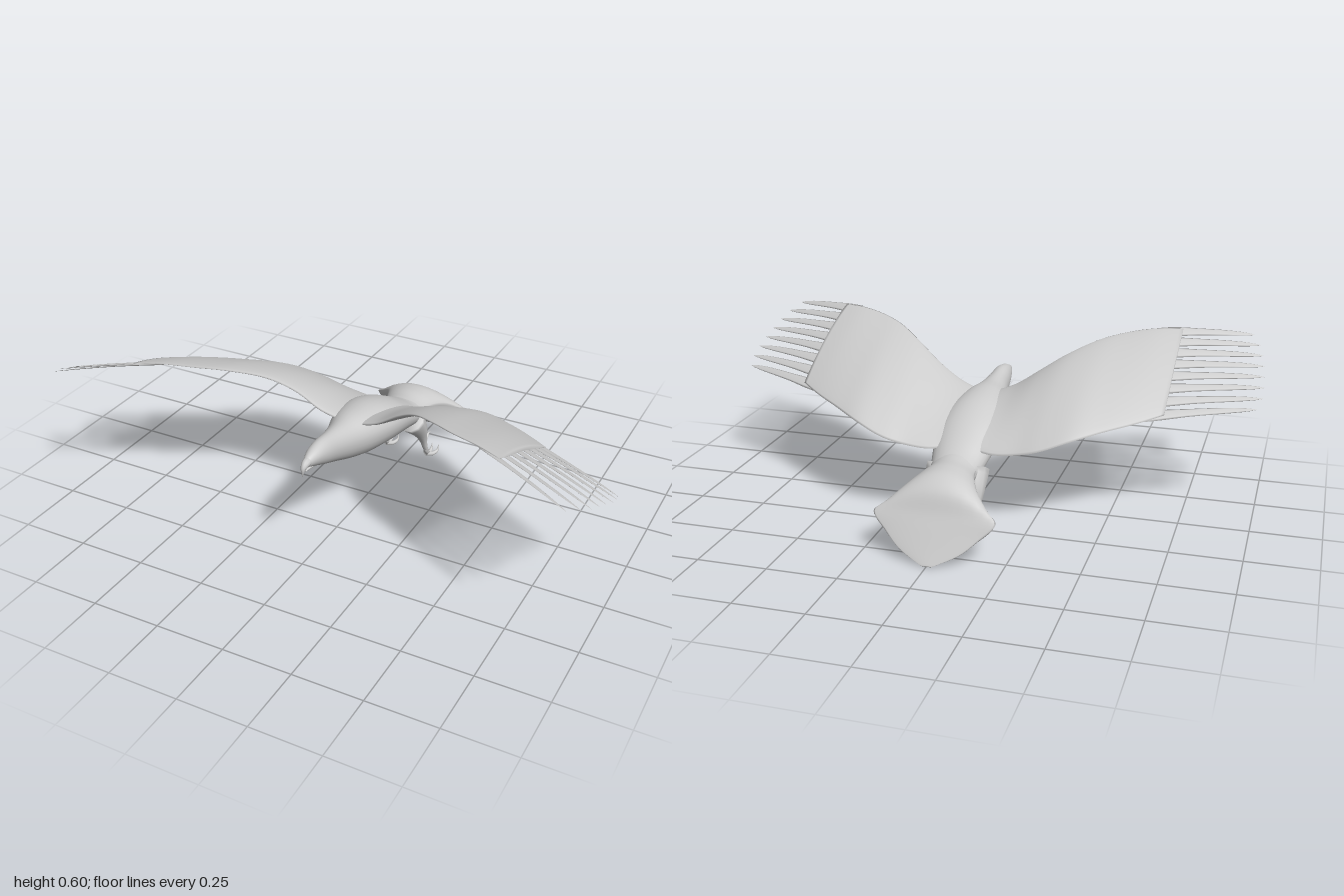
import * as THREE from 'three';

const V = (x, y, z) => new THREE.Vector3(x, y, z);
const material = new THREE.MeshStandardMaterial({ color: 0xcccccc });

// Skin a list of point rings into a closed solid, turned outward by its volume.
function loft(name, rings) {
  const n = rings[0].length, pos = [], idx = [];
  rings.forEach(r => r.forEach(p => pos.push(p.x, p.y, p.z)));
  for (let i = 0; i < rings.length - 1; i++) {
    for (let j = 0; j < n; j++) {
      const a = i * n + j, b = i * n + (j + 1) % n;
      idx.push(a, b, a + n, b, b + n, a + n);
    }
  }
  [0, rings.length - 1].forEach((r, end) => {
    const c = rings[r].reduce((s, p) => s.add(p), V(0, 0, 0)).divideScalar(n);
    const k = pos.length / 3;
    pos.push(c.x, c.y, c.z);
    for (let j = 0; j < n; j++) {
      const a = r * n + j, b = r * n + (j + 1) % n;
      if (end) idx.push(a, b, k); else idx.push(b, a, k);
    }
  });
  const at = i => V(pos[3 * i], pos[3 * i + 1], pos[3 * i + 2]);
  let volume = 0;
  for (let i = 0; i < idx.length; i += 3) {
    volume += at(idx[i]).dot(at(idx[i + 1]).cross(at(idx[i + 2])));
  }
  if (volume < 0) idx.reverse();
  const g = new THREE.BufferGeometry();
  g.setAttribute('position', new THREE.Float32BufferAttribute(pos, 3));
  g.setIndex(idx);
  g.computeVertexNormals();
  const mesh = new THREE.Mesh(g, material);
  mesh.name = name;
  return mesh;
}

// Smoothly resample rows of numbers.
function resample(rows, count) {
  return Array.from({ length: count + 1 }, (_, k) => {
    const f = k / count * (rows.length - 1), i = Math.min(Math.floor(f), rows.length - 2), t = f - i;
    const row = j => rows[Math.max(0, Math.min(rows.length - 1, j))];
    return rows[0].map((_, c) => {
      const p0 = row(i - 1)[c], p1 = row(i)[c], p2 = row(i + 1)[c], p3 = row(i + 2)[c];
      return p1 + 0.5 * t * (p2 - p0 + t * (2 * p0 - 5 * p1 + 4 * p2 - p3 + t * (3 * (p1 - p2) + p3 - p0)));
    });
  });
}

const angles = n => Array.from({ length: n }, (_, j) => j / n * Math.PI * 2);

// Upright cross-section: station z, top y, side y, bottom y, half width.
function section([z, top, side, bottom, hw], power) {
  return angles(28).map(a => {
    const s = Math.sin(a), h = Math.pow(Math.abs(s), power);
    return V(hw * Math.cos(a), side + (s > 0 ? top - side : bottom - side) * h, z);
  });
}

// Tapered limb through points, with one radius per point.
function limb(name, points, radii) {
  const curve = new THREE.CatmullRomCurve3(points), steps = 14;
  const { normals, binormals } = curve.computeFrenetFrames(steps);
  const r = resample(radii.map(v => [v]), steps);
  return loft(name, r.map(([rad], i) => {
    const c = curve.getPoint(i / steps);
    const nrm = normals[i], bin = binormals[i];
    return angles(10).map(a => c.clone()
      .addScaledVector(nrm, rad * Math.cos(a)).addScaledVector(bin, rad * Math.sin(a)));
  }));
}

function wing(side) {
  const g = new THREE.Group();
  g.name = side > 0 ? 'leftWing' : 'rightWing';
  // x, leading z, leading y, trailing z, trailing y, half thickness
  const rows = [
    [0.03, 0.15, 0.385, -0.20, 0.285, 0.016],
    [0.11, 0.165, 0.415, -0.225, 0.275, 0.02],
    [0.20, 0.18, 0.475, -0.23, 0.283, 0.018],
    [0.29, 0.23, 0.53, -0.23, 0.305, 0.015],
    [0.39, 0.31, 0.57, -0.20, 0.34, 0.012],
    [0.49, 0.375, 0.59, -0.135, 0.363, 0.01],
    [0.59, 0.42, 0.60, -0.065, 0.38, 0.008],
    [0.68, 0.455, 0.597, 0.01, 0.397, 0.005],
  ];
  g.add(loft('wingBlade', resample(rows, 36).map(([x, zl, yl, zt, yt, th]) =>
    angles(28).map(a => {
      const u = (1 - Math.cos(a)) / 2;
      const camber = 0.08 * (zl - zt) * u * (1 - u) * 2;
      return V(side * x, yl + (yt - yl) * u + camber + th * Math.sin(a), zl + (zt - zl) * u);
    }))));
  // Spread flight feathers at the wing tip
  const tipX = [0.985, 1, 1, 0.995, 0.99, 0.98, 0.965, 0.935];
  const profile = [[0, 0.027], [0.2, 0.027], [0.4, 0.021], [0.6, 0.018], [0.8, 0.014], [0.93, 0.008], [1, 0.001]];
  const across = V(0, 0.41, 0.91), up = V(0, 0.91, -0.41);
  tipX.forEach((tx, i) => {
    const t = i / (tipX.length - 1);
    const base = V(0.60, 0.392 + 0.198 * t + 0.035 * t * (1 - t), -0.02 + 0.425 * t);
    const tip = V(tx, 0.392 + 0.168 * t, 0.18 + 0.395 * t);
    g.add(loft('flightFeather', resample(profile, 12).map(([s, w]) => {
      const c = base.clone().lerp(tip, s);
      c.y += 0.02 * s * (1 - s);
      return angles(8).map(a => {
        const p = c.clone().addScaledVector(across, w * Math.cos(a))
          .addScaledVector(up, 0.12 * w * Math.sin(a));
        p.x *= side;
        return p;
      });
    })));
  });
  return g;
}

function leg(side) {
  const g = new THREE.Group();
  g.name = side > 0 ? 'leftLeg' : 'rightLeg';
  const P = (x, y, z) => V(side * x, y, z);
  g.add(limb('shank',
    [P(0.065, 0.215, -0.23), P(0.078, 0.16, -0.272), P(0.085, 0.10, -0.297), P(0.088, 0.055, -0.313), P(0.088, 0.018, -0.335)],
    [0.05, 0.034, 0.016, 0.01, 0.009]));
  // Three toes trailing back with curled claws
  [-0.026, 0, 0.026].forEach(d => g.add(limb('toe',
    [P(0.088, 0.018, -0.33), P(0.088 + d * 0.6, 0.011, -0.352), P(0.088 + d, 0.018, -0.372), P(0.088 + d * 1.1, 0.042, -0.38)],
    [0.009, 0.008, 0.006, 0.001])));
  // Raised opposing toe
  g.add(limb('hindToe',
    [P(0.088, 0.02, -0.335), P(0.088, 0.045, -0.315), P(0.088, 0.08, -0.312), P(0.088, 0.106, -0.335), P(0.088, 0.10, -0.365)],
    [0.009, 0.008, 0.007, 0.005, 0.001]));
  return g;
}

export function createModel() {
  const model = new THREE.Group();
  model.name = 'soaringBird';

  // Head, neck and trunk
  const trunk = [
    [0.455, 0.392, 0.38, 0.368, 0.009],
    [0.44, 0.404, 0.385, 0.364, 0.017],
    [0.40, 0.417, 0.385, 0.347, 0.029],
    [0.35, 0.423, 0.375, 0.325, 0.037],
    [0.28, 0.417, 0.36, 0.297, 0.045],
    [0.20, 0.413, 0.345, 0.265, 0.064],
    [0.11, 0.415, 0.335, 0.24, 0.095],
    [0, 0.402, 0.32, 0.224, 0.115],
    [-0.10, 0.368, 0.295, 0.21, 0.116],
    [-0.19, 0.32, 0.255, 0.19, 0.104],
    [-0.26, 0.282, 0.225, 0.165, 0.089],
    [-0.33, 0.262, 0.215, 0.155, 0.075],
  ];
  model.add(loft('body', resample(trunk, 48).map(r => section(r, 1))));

  // Hooked upper beak and short lower beak
  model.add(limb('upperBeak',
    [V(0, 0.385, 0.43), V(0, 0.384, 0.455), V(0, 0.372, 0.472), V(0, 0.345, 0.478)],
    [0.017, 0.015, 0.009, 0.001]));
  model.add(limb('lowerBeak',
    [V(0, 0.36, 0.38), V(0, 0.357, 0.42), V(0, 0.355, 0.458)],
    [0.014, 0.009, 0.002]));

  // Fanned tail with a folded-down end
  const tail = [
    [-0.24, 0.285, 0.235, 0.18, 0.085],
    [-0.30, 0.275, 0.23, 0.158, 0.083],
    [-0.36, 0.273, 0.225, 0.138, 0.10],
    [-0.42, 0.262, 0.205, 0.103, 0.13],
    [-0.47, 0.222, 0.167, 0.073, 0.178],
    [-0.502, 0.155, 0.14, 0.053, 0.213],
    [-0.53, 0.105, 0.092, 0.035, 0.165],
    [-0.56, 0.052, 0.042, 0.017, 0.105],
    [-0.588, 0.004, 0.002, 0, 0.02],
  ];
  model.add(loft('tail', resample(tail, 40).map(r => section(r, 1.4))));

  [1, -1].forEach(side => model.add(wing(side), leg(side)));
  return model;
}
